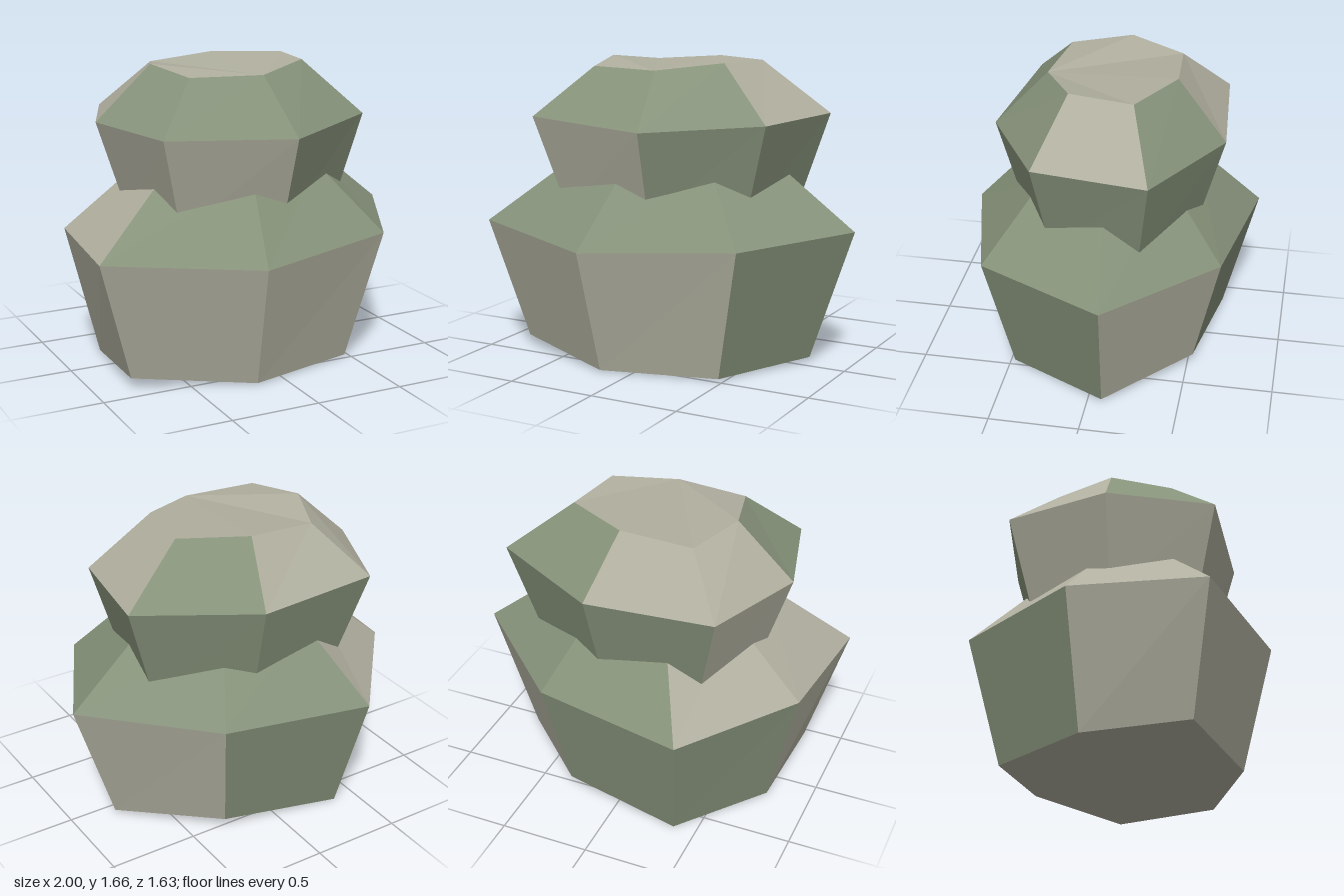
import * as THREE from 'three';

const moss = new THREE.MeshStandardMaterial({ color: 0x86927a });
moss.name = 'mossy green';
const stone = new THREE.MeshStandardMaterial({ color: 0xb0af9f });
stone.name = 'stone grey';

// Shrinks a ring toward the axis and moves it to a new height
const scaleRing = (ring, s, y) => ring.map(([x, , z]) => [x * s, y, z * s]);

// Faceted rock from stacked rings. bands[k] has one letter per facet: m = moss, s = stone
function rock(name, rings, bands) {
  const faces = { m: [], s: [] };
  const tri = (key, ...pts) => pts.forEach((p) => faces[key].push(...p));
  bands.forEach((keys, k) => {
    const lo = rings[k], hi = rings[k + 1], n = lo.length;
    for (let i = 0; i < n; i++) {
      const j = (i + 1) % n;
      tri(keys[i], lo[i], lo[j], hi[j]);
      tri(keys[i], lo[i], hi[j], hi[i]);
    }
  });
  // Closed caps
  const base = rings[0], top = rings[rings.length - 1];
  for (let i = 1; i < base.length - 1; i++) {
    tri('s', base[0], base[i + 1], base[i]);
    tri('s', top[0], top[i], top[i + 1]);
  }
  const geo = new THREE.BufferGeometry();
  geo.setAttribute('position', new THREE.Float32BufferAttribute([...faces.m, ...faces.s], 3));
  geo.addGroup(0, faces.m.length / 3, 0);
  geo.addGroup(faces.m.length / 3, faces.s.length / 3, 1);
  geo.computeVertexNormals();
  const mesh = new THREE.Mesh(geo, [moss, stone]);
  mesh.name = name;
  return mesh;
}

export function createModel() {
  const group = new THREE.Group();
  group.name = 'stackedRocks';

  // Rings run from the front toward the model's left, then round the back
  const lowerBase = [
    [-0.17, 0.01, 0.64], [0.47, 0.01, 0.475], [0.76, 0.025, -0.08], [0.31, 0.06, -0.53],
    [-0.37, 0, -0.635], [-0.76, 0.02, -0.18], [-0.8, 0.06, 0.39],
  ];
  const lowerRim = [
    [-0.2, 0.695, 0.815], [0.63, 0.74, 0.6], [1, 0.755, -0.11], [0.4, 0.73, -0.675],
    [-0.44, 0.695, -0.815], [-0.93, 0.75, -0.24], [-1, 0.74, 0.49],
  ];
  group.add(rock('lowerRock',
    [lowerBase, lowerRim, scaleRing(lowerRim, 0.55, 1.11)],
    ['smsmmss', 'mmmmssm']));

  const upperRim = [
    [0.07, 1.325, 0.635], [0.655, 1.36, 0.31], [0.76, 1.37, -0.32], [0.14, 1.35, -0.65],
    [-0.57, 1.36, -0.6], [-0.8, 1.37, -0.05], [-0.655, 1.36, 0.53],
  ];
  const upperTop = [
    [0.01, 1.625, 0.345], [0.34, 1.665, 0.165], [0.4, 1.66, -0.19], [0.05, 1.66, -0.375],
    [-0.35, 1.63, -0.35], [-0.48, 1.665, -0.045], [-0.4, 1.63, 0.29],
  ];
  group.add(rock('upperRock',
    [scaleRing(upperRim, 0.78, 0.83), upperRim, upperTop],
    ['mmmmsss', 'msmssmm']));

  return group;
}
